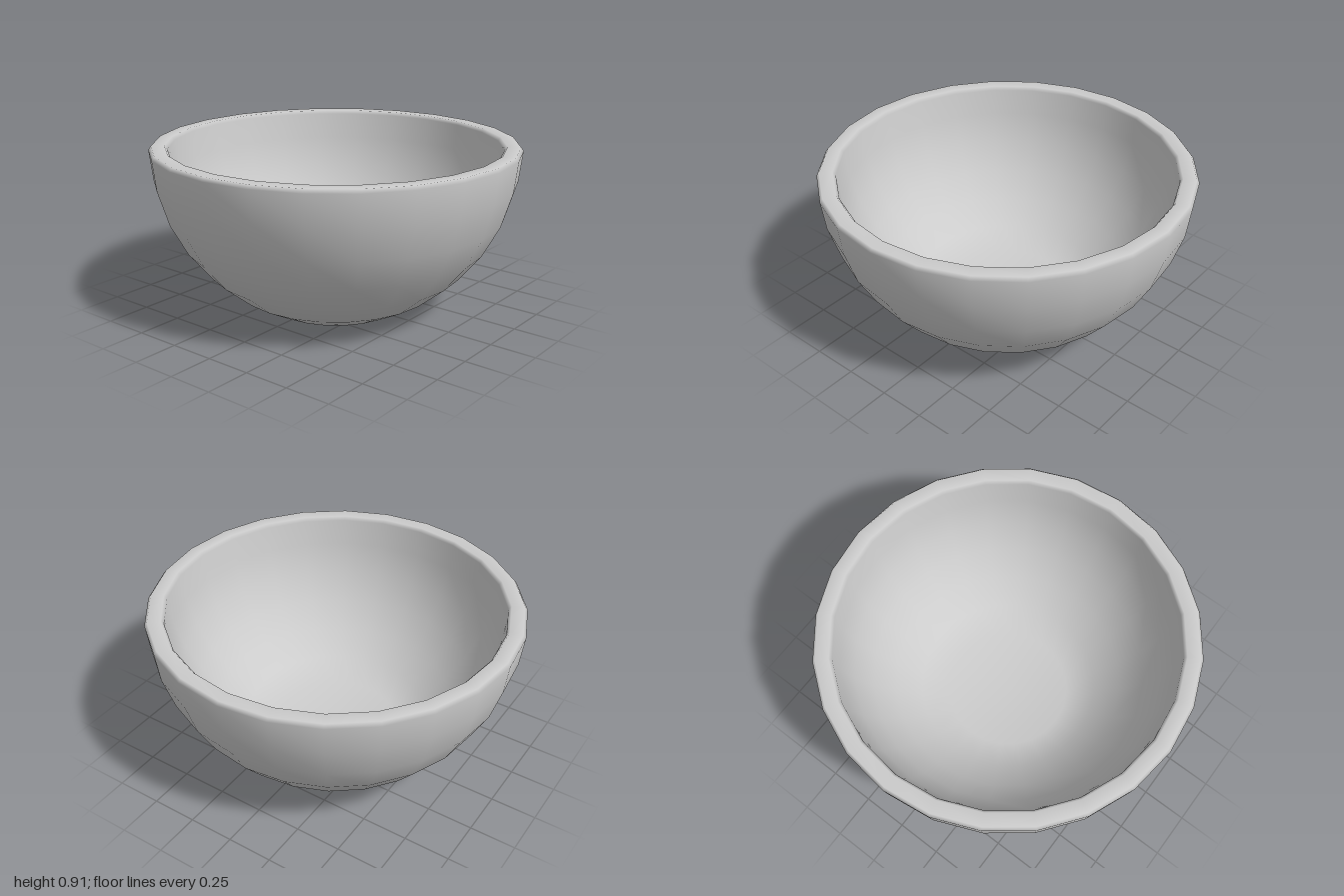
import * as THREE from 'three';

export function createModel() {
  const group = new THREE.Group();
  const centerY = 0.924, step = Math.PI / 16;
  const arcPoint = (radius, i) =>
    new THREE.Vector2(radius * Math.cos(i * step), Math.max(0, centerY - radius * Math.sin(i * step)));

  // Profile: flat foot, outer arc, rounded rim, inner arc, flat floor
  const profile = [new THREE.Vector2(0, 0)];
  for (let i = 6; i >= 1; i--) profile.push(arcPoint(1, i));
  for (const [r, y] of [[1, 0.895], [0.985, 0.914], [0.915, 0.914], [0.9, 0.895]])
    profile.push(new THREE.Vector2(r, y));
  for (let i = 1; i <= 6; i++) profile.push(arcPoint(0.9, i));
  profile.push(new THREE.Vector2(0, 0.093));

  const bowl = new THREE.Mesh(
    new THREE.LatheGeometry(profile, 24),
    new THREE.MeshStandardMaterial({ color: 0xcccccc })
  );
  bowl.name = 'bowl';
  group.add(bowl);
  return group;
}
